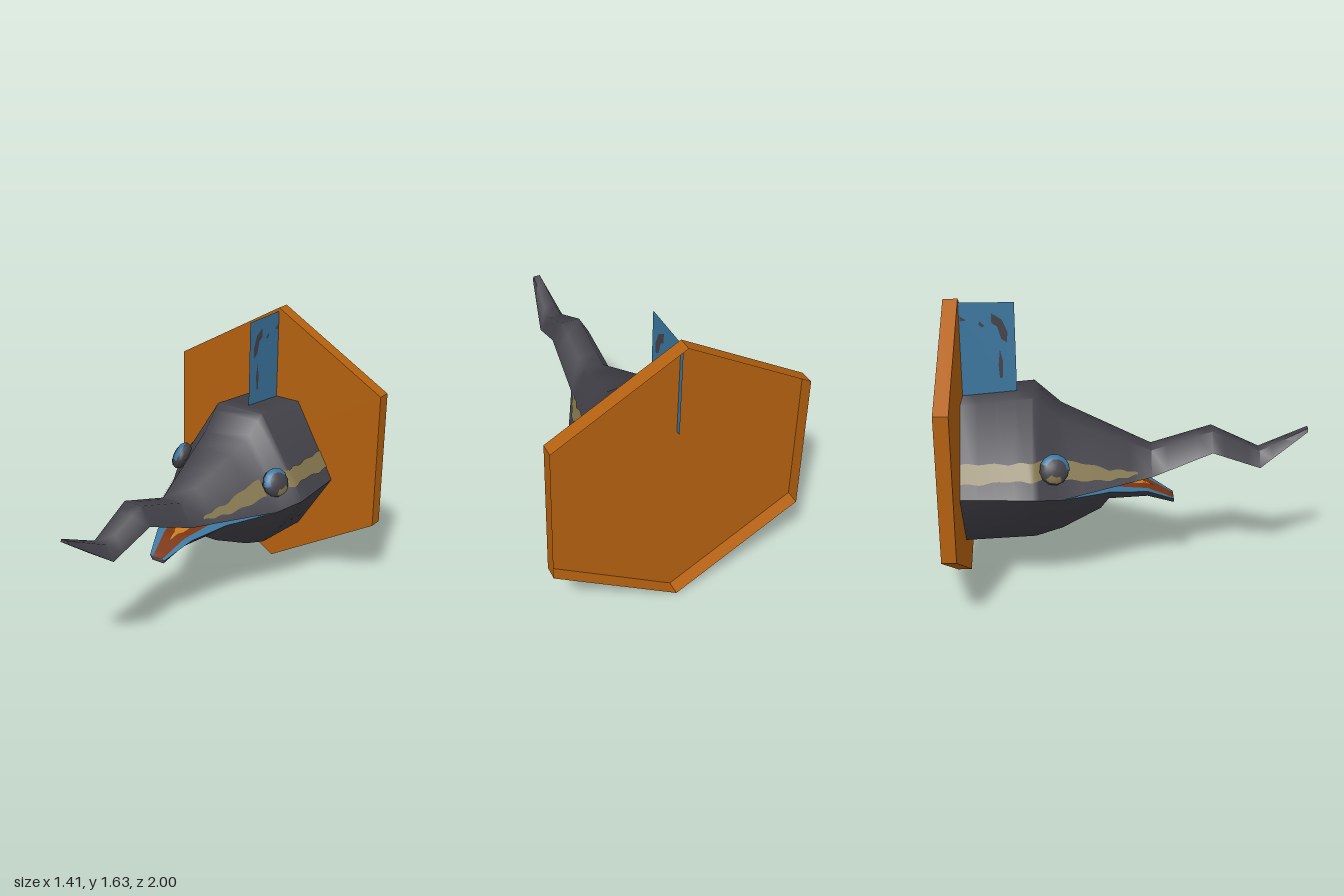
import * as THREE from 'three';
import { toCreasedNormals } from 'three/addons/utils/BufferGeometryUtils.js';

const paint = (name, color) => {
  const m = new THREE.MeshStandardMaterial({ color, side: THREE.DoubleSide });
  m.name = name;
  return m;
};

// Upper head and beak: z, lip half-width, lip y, crown half-width, crown y
const UPPER = [
  [-0.92, 0.41, 0.63, 0.155, 1.075],
  [-0.53, 0.45, 0.64, 0.155, 1.11],
  [-0.38, 0.375, 0.605, 0.14, 0.98],
  [0.12, 0.14, 0.63, 0.06, 0.76],
  [0.46, 0.115, 0.76, 0.055, 0.866],
  [0.73, 0.088, 0.655, 0.04, 0.74],
  [1.0, 0.027, 0.845, 0.02, 0.864],
  [1.0, 0, 0.855, 0, 0.855],
];
// Throat and lower jaw: z, lip half-width, lip y, base half-width, base y
const LOWER = [
  [-0.92, 0.41, 0.63, 0.19, 0.285],
  [-0.53, 0.45, 0.64, 0.19, 0.305],
  [-0.38, 0.375, 0.605, 0.17, 0.345],
  [-0.165, 0.24, 0.58, 0.1, 0.43],
  [-0.12, 0.21, 0.575, 0.1, 0.488],
  [0.1, 0.12, 0.535, 0.06, 0.482],
  [0.25, 0.055, 0.458, 0.04, 0.432],
  [0.25, 0, 0.445, 0, 0.445],
];
const MOUTH_CORNER = 2;

const mix = (a, b, t) => a.map((v, i) => v + (b[i] - v) * t);

// Linear in-between stations
function refine(stations, steps = 4) {
  const out = [];
  for (let i = 0; i < stations.length - 1; i++)
    for (let k = 0; k < steps; k++) out.push(mix(stations[i], stations[i + 1], k / steps));
  out.push(stations[stations.length - 1]);
  return out;
}

function stationAt(stations, z) {
  let i = 0;
  while (i < stations.length - 3 && stations[i + 1][0] < z) i++;
  const a = stations[i], b = stations[i + 1];
  return mix(a, b, (z - a[0]) / (b[0] - a[0]));
}

// Skin through rows of [x, y, z] points
function loft(rows) {
  const n = rows[0].length, index = [];
  for (let i = 0; i < rows.length - 1; i++)
    for (let j = 0; j < n - 1; j++) {
      const a = i * n + j, c = a + n;
      index.push(a, c, a + 1, a + 1, c, c + 1);
    }
  const g = new THREE.BufferGeometry();
  g.setAttribute('position', new THREE.Float32BufferAttribute(rows.flat(2), 3));
  g.setIndex(index);
  return toCreasedNormals(g, 1.1);
}

export function createModel() {
  const charcoal = paint('charcoal skin', 0x434249);
  const blue = paint('blue', 0x3b769e);
  const olive = paint('olive stripe', 0x85774f);
  const wood = paint('orange wood', 0xb4610f);
  const brown = paint('mouth brown', 0x7a3410);
  const orange = paint('tongue orange', 0xc67a1e);

  const model = new THREE.Group();
  const add = (name, geometry, material, parent = model) => {
    const m = new THREE.Mesh(geometry, material);
    m.name = name;
    parent.add(m);
    return m;
  };

  // Hexagonal wall plaque, a shallow shell open at the back
  const plaque = new THREE.Group();
  plaque.name = 'plaque';
  plaque.position.set(0, 0.813, -0.96);
  model.add(plaque);
  const R = 0.813;
  const rim = new THREE.CylinderGeometry(R, R, 0.08, 6, 1, true).rotateX(Math.PI / 2);
  add('plaqueRim', toCreasedNormals(rim, 0.5), wood, plaque);
  add('plaqueFace', new THREE.CircleGeometry(R, 6, Math.PI / 2), wood, plaque).position.z = 0.04;

  // Outer skin of both jaws
  add('upperHead', loft(refine(UPPER).map(([z, w, y, wt, yt]) =>
    [[-w, y, z], [-wt, yt, z], [wt, yt, z], [w, y, z]])), charcoal);
  add('lowerJaw', loft(refine(LOWER).map(([z, w, y, wb, yb]) =>
    [[w, y, z], [wb, yb, z], [-wb, yb, z], [-w, y, z]])), charcoal);

  // Mouth surfaces: strip between two fractions of the lip width
  const strip = (stations, from, to, lift = 0) => loft(
    stations.map(([z, w, y]) => [[w * from, y + lift, z], [w * to, y + lift, z]]));
  const palate = refine(UPPER.slice(MOUTH_CORNER));
  const floor = refine(LOWER.slice(MOUTH_CORNER));
  add('palate', strip(palate, 0.6, -0.6), brown);
  add('mouthFloor', strip(floor, -0.6, 0.6), brown);
  for (const s of [1, -1]) {
    add('upperLip', strip(palate, s > 0 ? 1 : -0.6, s > 0 ? 0.6 : -1), blue);
    add('lowerLip', strip(floor, s > 0 ? 0.6 : -1, s > 0 ? 1 : -0.6), blue);
  }

  // Wavy orange patches on palate and floor
  const patch = (stations, z0, z1, side, width) => {
    const rows = [];
    for (let i = 0; i <= 16; i++) {
      const z = z0 + (z1 - z0) * i / 16;
      const [, w, y] = stationAt(stations, z);
      const h = w * width * Math.sin(Math.PI * i / 16) * (0.8 + 0.2 * Math.sin(i * 2.1));
      rows.push([[-side * h, y + side * 0.005, z], [side * h, y + side * 0.005, z]]);
    }
    return loft(rows);
  };
  add('tongue', patch(LOWER, -0.3, 0.14, 1, 0.45), orange);
  add('palatePatch', patch(UPPER, 0.02, 0.42, -1, 0.35), orange);

  // Side stripes, laid on the cheek: z, lower y, upper y
  const stripes = {
    frontStripe: [[-0.36, 0.695, 0.785], [-0.24, 0.672, 0.752], [-0.12, 0.655, 0.705],
      [-0.03, 0.653, 0.688], [0.04, 0.655, 0.665]],
    rearStripe: [[-0.918, 0.7, 0.795], [-0.8, 0.705, 0.8], [-0.66, 0.725, 0.802],
      [-0.56, 0.722, 0.81], [-0.44, 0.72, 0.81]],
  };
  const onCheek = (s, y, z) => {
    const [, w, yl, wt, yt] = stationAt(UPPER, z);
    return [s * (w + (wt - w) * (y - yl) / (yt - yl) + 0.006), y + 0.003, z];
  };
  for (const s of [1, -1])
    for (const [name, path] of Object.entries(stripes)) {
      const rows = refine(path, 6).map(([z, lo, hi], i) => {
        const wave = 0.004 * Math.sin(i * 0.9);
        const row = [onCheek(s, hi + wave, z), onCheek(s, lo + wave, z)];
        return s > 0 ? row : row.reverse();
      });
      add(name, loft(rows), olive);
    }

  // Eyes: flattened faceted balls with painted arcs, pole pointing outward
  const rad = THREE.MathUtils.degToRad;
  const ball = (r, seg, rings, p0, p1, t0, t1) =>
    new THREE.SphereGeometry(r, seg, rings, rad(p0), rad(p1 - p0), rad(t0), rad(t1 - t0))
      .rotateZ(-Math.PI / 2).scale(0.6, 1, 1);
  for (const s of [1, -1]) {
    const side = new THREE.Group();
    side.name = s > 0 ? 'leftEye' : 'rightEye';
    side.scale.x = s;
    const eye = new THREE.Group();
    eye.name = 'eye';
    eye.position.set(0.335, 0.767, -0.415);
    eye.rotation.set(0, -0.35, 0.4);
    side.add(eye);
    model.add(side);
    add('eyeball', ball(0.083, 12, 8, 0, 360, 0, 180), charcoal, eye);
    add('eyeArc', ball(0.087, 6, 3, -60, 100, 42, 80), blue, eye);
    add('eyeSpot', ball(0.087, 3, 2, 160, 235, 28, 62), olive, eye);
  }

  // Thin upright fin with blotches on both faces
  const fin = new THREE.PlaneGeometry(0.33, 0.535).rotateY(Math.PI / 2);
  add('fin', fin, blue).position.set(0, 1.337, -0.785);
  const blotches = [
    [[-0.665, 1.38], [-0.66, 1.44], [-0.69, 1.51], [-0.745, 1.545], [-0.745, 1.49], [-0.715, 1.47], [-0.695, 1.4]],
    [[-0.705, 1.34], [-0.715, 1.25], [-0.71, 1.175], [-0.695, 1.18], [-0.69, 1.27]],
    [[-0.785, 1.475], [-0.81, 1.5], [-0.815, 1.48], [-0.795, 1.465]],
    [[-0.88, 1.505], [-0.915, 1.53], [-0.915, 1.5]],
  ];
  for (const pts of blotches) {
    const shape = new THREE.Shape(pts.map(([z, y]) => new THREE.Vector2(-z, y)));
    for (const s of [1, -1])
      add('finBlotch', new THREE.ShapeGeometry(shape).rotateY(Math.PI / 2), charcoal).position.x = s * 0.002;
  }
  return model;
}
